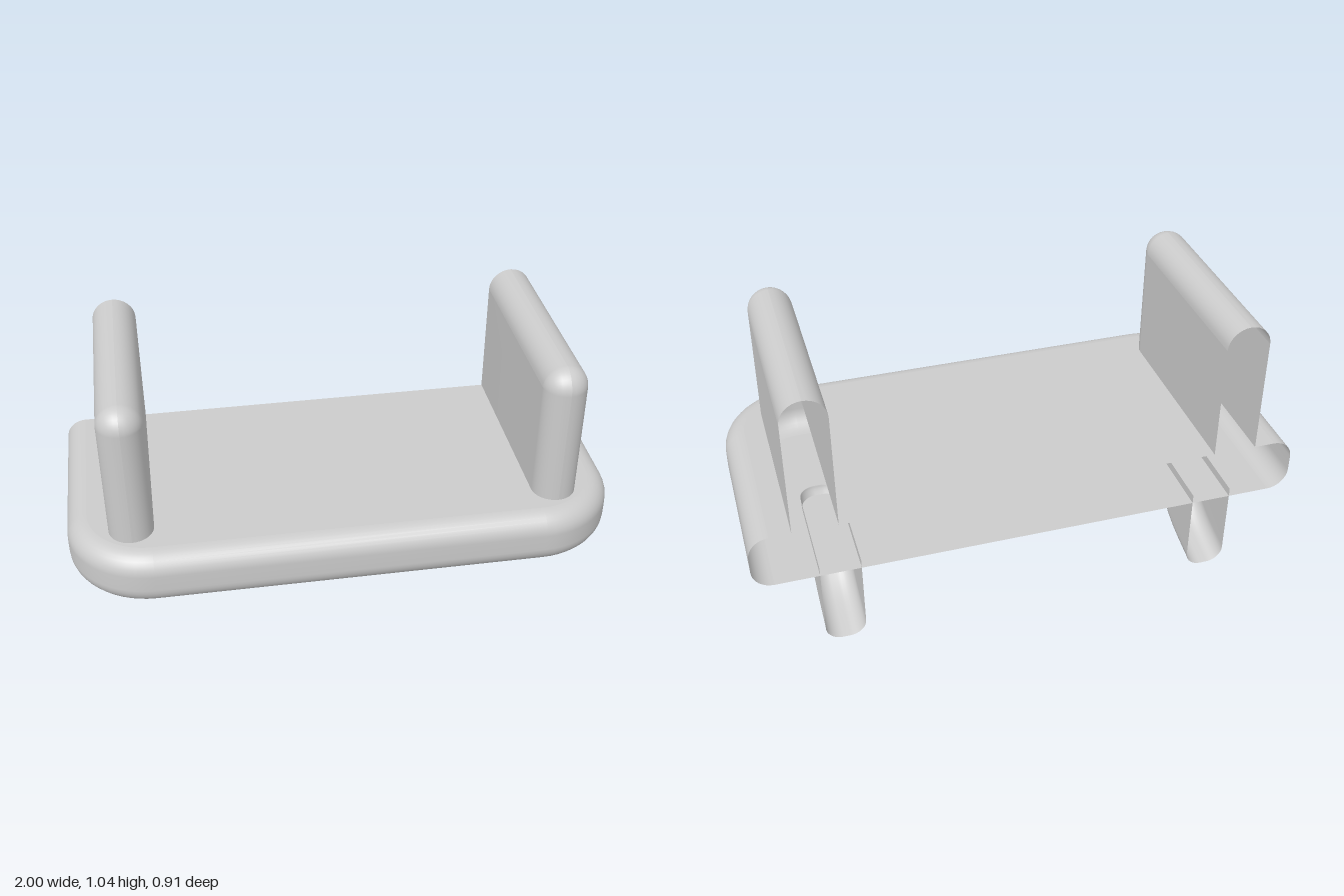
import * as THREE from 'three';

const BACK = -0.457;
const material = new THREE.MeshStandardMaterial({ color: 0xcccccc, side: THREE.DoubleSide });

// Sweeps a rounded edge along a flat path of points {p, n} (n points outward).
// half: half thickness, r: edge radius, place: maps (a, b, across) to x, y, z.
// walls: also fills flat sides from the rounded edge to the open back.
function roundedEdge(path, half, r, place, walls = false, maxB = Infinity) {
  const steps = 8, section = [];
  for (const side of [-1, 1]) {
    for (let k = 0; k <= steps; k++) {
      const phi = (side < 0 ? k / steps - 1 : k / steps) * Math.PI / 2;
      section.push([side * (half - r) + r * Math.sin(phi), r * (1 - Math.cos(phi))]);
    }
  }
  const pos = [], index = [];
  let cols = 0;
  for (const { p, n } of path) {
    const row = section.map(([c, inset]) => [
      Math.max(p.x - n.x * inset, walls ? BACK : -2), Math.min(p.y - n.y * inset, maxB), c]);
    if (walls) {
      row.unshift([BACK, row[0][1], -half]);
      row.push([BACK, row[row.length - 1][1], half]);
    }
    cols = row.length;
    row.forEach(q => pos.push(...place(...q)));
  }
  for (let i = 0; i < path.length - 1; i++) {
    for (let j = 0; j < cols - 1; j++) {
      const a = i * cols + j, b = a + cols;
      index.push(a, a + 1, b, a + 1, b + 1, b);
    }
  }
  const g = new THREE.BufferGeometry();
  g.setAttribute('position', new THREE.Float32BufferAttribute(pos, 3));
  g.setIndex(index);
  g.computeVertexNormals();
  return g;
}

// Quarter turn of path points around a centre
function corner(cx, cy, r, from, to, steps = 14) {
  return Array.from({ length: steps + 1 }, (_, i) => {
    const t = from + (to - from) * i / steps;
    const n = new THREE.Vector2(Math.cos(t), Math.sin(t));
    return { p: new THREE.Vector2(cx + r * n.x, cy + r * n.y), n };
  });
}
const at = (x, y, nx, ny) => ({ p: new THREE.Vector2(x, y), n: new THREE.Vector2(nx, ny) });

// Flat horizontal sheet from x, z points
function sheet(points, y, up) {
  const s = up ? -1 : 1;
  const shape = new THREE.Shape(points.map(q => new THREE.Vector2(q.x, s * q.y)));
  return new THREE.ShapeGeometry(shape).rotateX(s * Math.PI / 2).translate(0, y, 0);
}

export function createModel() {
  const model = new THREE.Group();
  const add = (name, geometry, parent = model) => {
    const mesh = new THREE.Mesh(geometry, material);
    mesh.name = name;
    parent.add(mesh);
    return mesh;
  };
  const armX = 0.768, armHalf = 0.08, armFront = 0.345;
  const top = 0.522, bottom = 0.312, edge = 0.075;

  // Tray: rounded rim, open at the back
  const tray = new THREE.Group();
  tray.name = 'tray';
  model.add(tray);
  const outline = [
    at(1, BACK, 1, 0),
    ...corner(0.7, 0.155, 0.3, 0, Math.PI / 2),
    ...corner(-0.7, 0.155, 0.3, Math.PI / 2, Math.PI),
    at(-1, BACK, -1, 0),
  ];
  const mid = (top + bottom) / 2;
  add('trayRim', roundedEdge(outline, (top - bottom) / 2, edge, (a, b, c) => [a, mid + c, b]), tray);
  const inner = outline.map(({ p, n }) => p.clone().addScaledVector(n, -edge));
  add('trayBottom', sheet(inner, bottom, false), tray);

  // Tray top, notched where the hollow arms stand
  const notch = cx => [
    new THREE.Vector2(cx - armHalf, BACK),
    ...corner(cx, armFront - armHalf, armHalf, Math.PI, 0, 16).map(q => q.p),
    new THREE.Vector2(cx + armHalf, BACK),
  ];
  add('trayTop', sheet([...inner, ...notch(-armX), ...notch(armX)], top, true), tray);

  // Armrest panels: fully rounded front and top edges
  const armTop = 1.045;
  const armPath = [
    at(armFront, top, 1, 0),
    ...corner(armFront - armHalf, armTop - armHalf, armHalf, 0, Math.PI / 2, 10),
    at(BACK, armTop, 0, 1),
  ];
  const sideways = (a, b, c) => [c, b, a];
  const armGeometry = roundedEdge(armPath, armHalf, armHalf, sideways, true);

  // Brackets: curved lower edge, reaching slightly into the tray
  const curve = new THREE.SplineCurve([
    [BACK, 0.002], [-0.3, 0.045], [-0.2, 0.098], [-0.1, 0.182], [-0.015, 0.312], [0.0, 0.345],
  ].map(q => new THREE.Vector2(...q)));
  const bracketPath = Array.from({ length: 31 }, (_, i) => {
    const t = curve.getTangent(i / 30);
    return { p: curve.getPoint(i / 30), n: new THREE.Vector2(t.y, -t.x) };
  });
  const bracketGeometry = roundedEdge(bracketPath, 0.073, 0.06, sideways, true, 0.345);

  for (const [side, s] of [['left', 1], ['right', -1]]) {
    add(side + 'Arm', armGeometry).position.x = s * armX;
    add(side + 'Bracket', bracketGeometry).position.x = s * 0.695;
  }
  return model;
}
